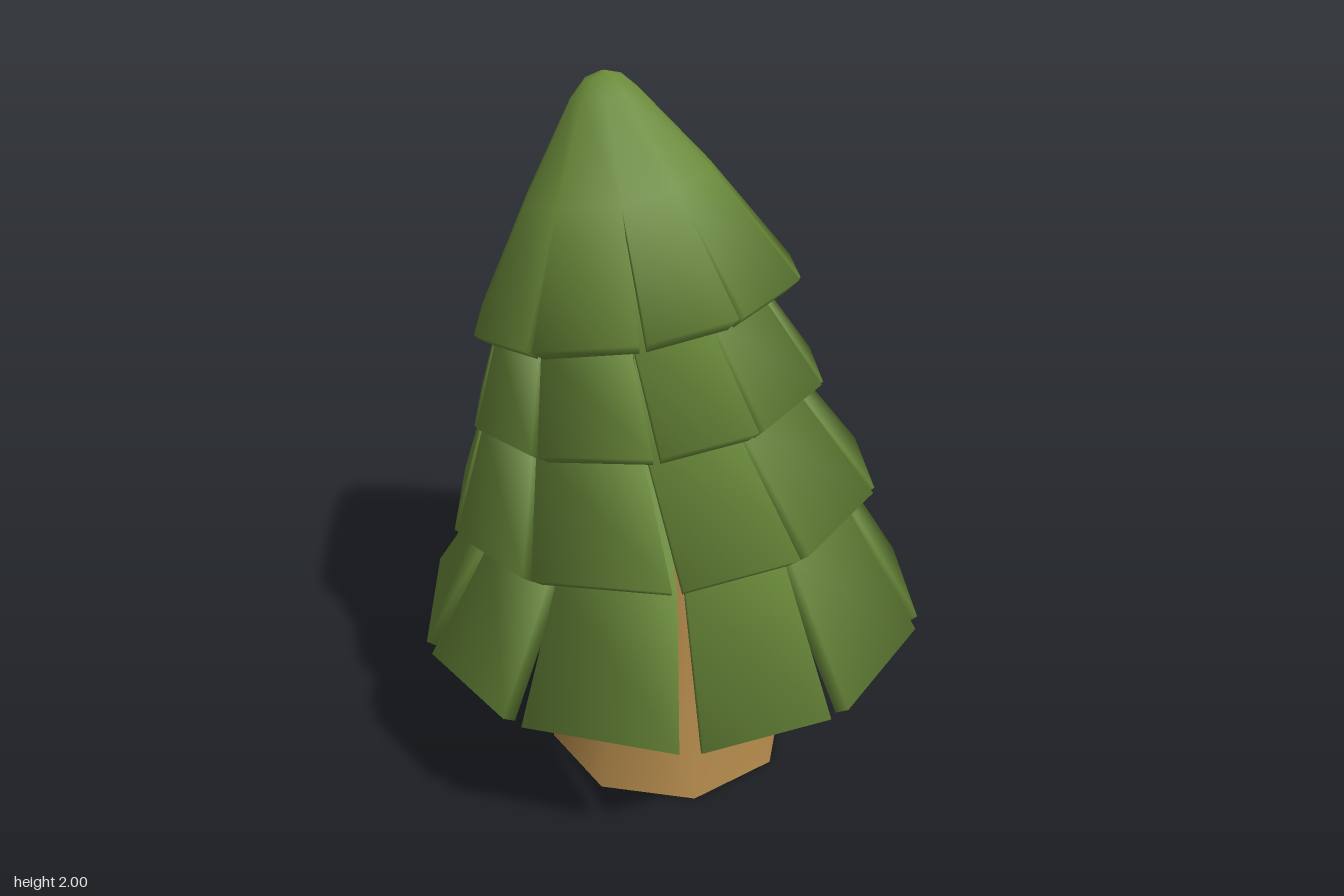
import * as THREE from 'three';

const rad = THREE.MathUtils.degToRad;
const ring = (x, y, r, tilt) => ({ x, y, r, tilt });

// Point on a tilted ring at angle a (degrees)
function ringPoint({ x, y, r, tilt }, a) {
  const c = Math.cos(rad(a)) * r;
  const t = rad(tilt);
  return new THREE.Vector3(x + c * Math.cos(t), y + c * Math.sin(t), Math.sin(rad(a)) * r);
}

// Geometry from quads, with normals averaged evenly over the quads at each corner
function softQuads(quads) {
  const key = p => p.toArray().map(v => Math.round(v * 500)).join();
  const sums = new Map();
  for (const [a, b, c, d] of quads) {
    const n = c.clone().sub(a).cross(d.clone().sub(b)).normalize();
    for (const p of [a, b, c, d]) {
      if (!sums.has(key(p))) sums.set(key(p), new THREE.Vector3());
      sums.get(key(p)).add(n);
    }
  }
  const corners = quads.flatMap(([a, b, c, d]) => [a, b, c, a, c, d]);
  const normals = corners.map(p => sums.get(key(p)).clone().normalize());
  const g = new THREE.BufferGeometry().setFromPoints(corners);
  g.setAttribute('normal', new THREE.Float32BufferAttribute(normals.flatMap(n => n.toArray()), 3));
  return g;
}

// One skirt of ten thick flaps, alternately wide and narrow, joined at the top.
// outer: slit rings from the rim upward; cap: closed rings above the slits
function skirt(outer, gap, cap) {
  const quads = [];
  const n = outer.length;
  const slit = outer.map((r, i) => ({ ...r, gap: gap * (1 - i / (n - 1)) }));
  const inner = slit.map((r, i) => i === 0
    ? { ...r, r: r.r - 0.043, y: r.y - 0.036 }
    : { ...r, r: r.r - 0.055, y: r.y - 0.03 });
  const chain = [...inner.reverse(), ...slit, ...cap.map(r => ({ ...r, gap: 0 }))];

  for (let f = 0; f < 10; f++) {
    const half = f % 2 ? 16.7 : 19.3;
    const lo = chain.map(r => ringPoint(r, f * 36 - half + r.gap));
    const hi = chain.map(r => ringPoint(r, f * 36 + half - r.gap));
    // inside, rim and outside
    for (let k = 0; k < chain.length - 1; k++) quads.push([lo[k], lo[k + 1], hi[k + 1], hi[k]]);
    // slit walls
    for (let k = 0; k < n - 1; k++) {
      const o = 2 * n - 1 - k;
      quads.push([lo[k], lo[o], lo[o - 1], lo[k + 1]]);
      quads.push([hi[k], hi[k + 1], hi[o - 1], hi[o]]);
    }
  }
  return softQuads(quads);
}

// Flared, hollow eight-sided trunk, leaning slightly with height
function trunkGeometry() {
  const profile = [[0.362, 0], [0.29, 0.25], [0.25, 0.45], [0.21, 0.75], [0.17, 1.1]]
    .map(p => new THREE.Vector2(...p));
  const g = new THREE.LatheGeometry(profile, 8);
  const p = g.attributes.position;
  for (let i = 0; i < p.count; i++) p.setX(i, p.getX(i) - 0.003 - 0.02 * p.getY(i));
  return g;
}

export function createModel() {
  const tree = new THREE.Group();
  tree.name = 'pineTree';
  const green = new THREE.MeshStandardMaterial({ color: 0x6a8a3a });
  green.name = 'needleGreen';
  const brown = new THREE.MeshStandardMaterial({ color: 0xab8347, side: THREE.DoubleSide });
  brown.name = 'barkBrown';

  const add = (name, geometry, material) => {
    const mesh = new THREE.Mesh(geometry, material);
    mesh.name = name;
    tree.add(mesh);
  };

  add('trunk', trunkGeometry(), brown);

  // Four skirts of branches, bending toward -x as they rise
  add('bottomBranches', skirt([
    ring(0, 0.491, 0.725, 0.5), ring(-0.01, 0.82, 0.52, 3.5), ring(-0.06, 1.1, 0.33, 6),
  ], 2.4, [ring(-0.08, 1.25, 0.002, 6)]), green);
  add('lowerBranches', skirt([
    ring(-0.028, 0.86, 0.602, 5), ring(-0.115, 1.14, 0.44, 8), ring(-0.14, 1.4, 0.25, 9),
  ], 1.4, [ring(-0.16, 1.52, 0.002, 9)]), green);
  add('upperBranches', skirt([
    ring(-0.077, 1.152, 0.49, 7.3), ring(-0.14, 1.385, 0.37, 10.5), ring(-0.165, 1.6, 0.2, 11),
  ], 1.2, [ring(-0.18, 1.71, 0.002, 11)]), green);
  add('treetop', skirt([
    ring(-0.11, 1.417, 0.45, 11), ring(-0.16, 1.715, 0.258, 11.8),
  ], 1.2, [
    ring(-0.2, 1.94, 0.092, 12), ring(-0.2, 1.985, 0.048, 8), ring(-0.2, 2, 0.002, 0),
  ]), green);

  return tree;
}
